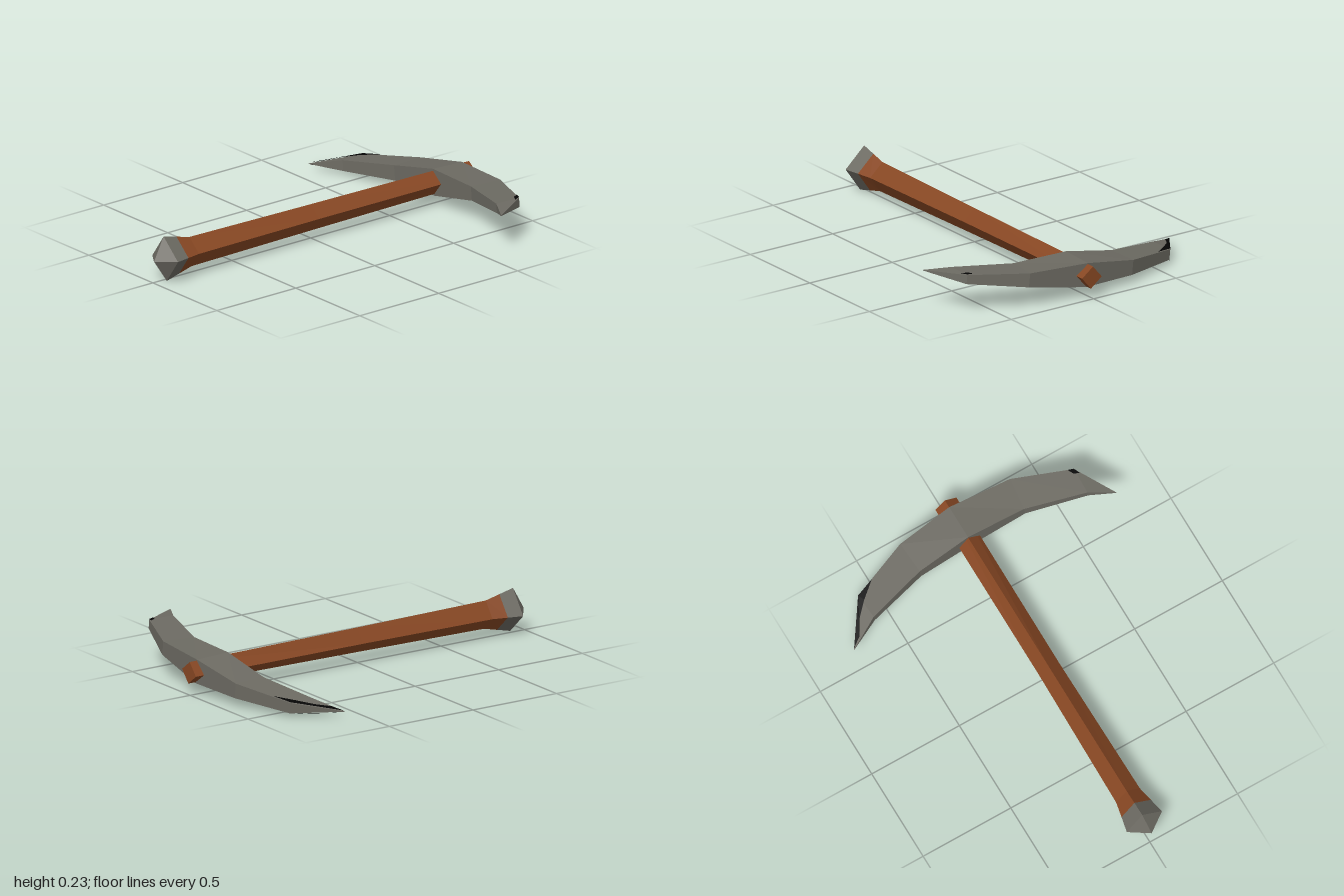
import * as THREE from 'three';

// Skin a list of four-point rings, each counter-clockwise seen from the far end, with flat facets.
function loft(rings) {
  const pos = [];
  const quad = (a, b, c, d) => [a, b, c, a, c, d].forEach((p) => pos.push(...p));
  for (let r = 0; r < rings.length - 1; r++) {
    for (let i = 0; i < 4; i++) {
      const j = (i + 1) % 4;
      quad(rings[r][i], rings[r][j], rings[r + 1][j], rings[r + 1][i]);
    }
  }
  quad(...rings[rings.length - 1]);
  quad(...[...rings[0]].reverse());
  return facets(pos);
}

function facets(pos) {
  const g = new THREE.BufferGeometry();
  g.setAttribute('position', new THREE.Float32BufferAttribute(pos, 3));
  g.computeVertexNormals();
  return g;
}

// Diamond section across the shaft
const diamond = ([x, ry, rz]) => [
  [x, ry, 0.01], [x, 0, 0.01 + rz], [x, -ry, 0.01], [x, 0, 0.01 - rz],
];

// Half thickness of the blade at a distance from the shaft
function halfThickness(z) {
  const steps = [[0, 0.063], [0.31, 0.037], [0.615, 0.027], [0.755, 0.001]];
  const d = Math.min(Math.abs(z), 0.755);
  for (let i = 1; i < steps.length; i++) {
    const [z0, h0] = steps[i - 1], [z1, h1] = steps[i];
    if (d <= z1) return h0 + ((h1 - h0) * (d - z0)) / (z1 - z0);
  }
  return 0.001;
}

export function createModel() {
  const wood = new THREE.MeshStandardMaterial({ color: 0x874723 });
  wood.name = 'brownWood';
  const iron = new THREE.MeshStandardMaterial({ color: 0x6c6a62 });
  iron.name = 'greyIron';
  const dark = new THREE.MeshStandardMaterial({ color: 0x050505, side: THREE.DoubleSide });
  dark.name = 'blackEdge';

  const model = new THREE.Group();
  model.name = 'pickaxe';
  // The whole tool lies tilted a little about its shaft
  model.position.y = 0.118;
  model.rotation.x = -0.107;
  const add = (name, geometry, material) => {
    const mesh = new THREE.Mesh(geometry, material);
    mesh.name = name;
    model.add(mesh);
  };

  // Wooden shaft and iron pommel share one diamond profile
  const joint = [-0.85, 0.0945, 0.084];
  add('handle', loft([joint, [-0.77, 0.075, 0.068], [0, 0.066, 0.058], [1, 0.057, 0.06]].map(diamond)), wood);
  add('pommel', loft([[-1, 0.001, 0.001], [-0.93, 0.114, 0.101], joint].map(diamond)), iron);

  // Curved head: outer x, outer z, inner x, inner z
  const stations = [
    [0.597, -0.755, 0.594, -0.755],
    [0.815, -0.6, 0.68, -0.59],
    [0.93, -0.29, 0.757, -0.28],
    [0.957, 0.01, 0.772, 0.01],
    [0.93, 0.34, 0.76, 0.32],
    [0.81, 0.635, 0.67, 0.63],
    [0.603, 0.752, 0.6, 0.752],
  ];
  add('head', loft(stations.map(([ox, oz, ix, iz], i) => {
    const ho = halfThickness(oz);
    const hi = halfThickness(iz) + (i === 3 ? 0.007 : 0);
    return [[ox, ho, oz], [ix, hi, iz], [ix, -hi, iz], [ox, -ho, oz]];
  })), iron);

  // Blackened edges laid on the blade, fanned from the first corner
  const plate = (name, points, side) => {
    const p = points.map(([x, z]) => [x, side * (halfThickness(z) + 0.004), z]);
    const pos = [];
    for (let i = 1; i < p.length - 1; i++) {
      pos.push(...p[0], ...(side > 0 ? [...p[i], ...p[i + 1]] : [...p[i + 1], ...p[i]]));
    }
    add(name, facets(pos), dark);
  };
  plate('backTipEdge', [[0.815, -0.6], [0.6, -0.752], [0.635, -0.7], [0.71, -0.655], [0.78, -0.585], [0.85, -0.5]], 1);
  plate('backTipLowerEdge', [[0.815, -0.6], [0.6, -0.752], [0.74, -0.635]], -1);
  plate('frontTipEdge', [[0.81, 0.635], [0.82, 0.605], [0.79, 0.62], [0.775, 0.65]], 1);

  const root = new THREE.Group();
  root.add(model);
  return root;
}
